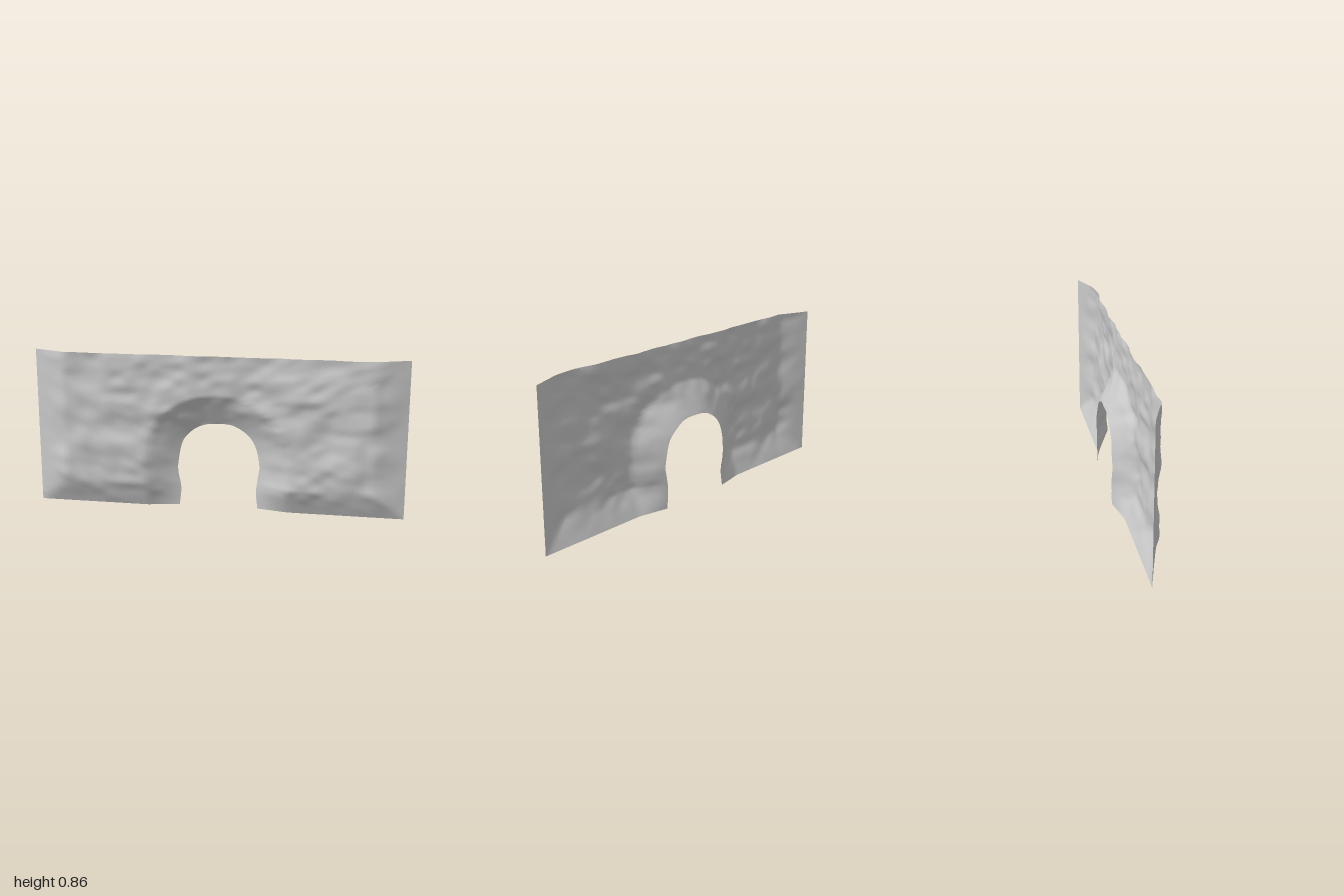
import * as THREE from 'three';

const HEIGHT = 0.855;

// Uneven outline of the opening, from the foot at -x over the crown to the foot at +x
const archCurve = new THREE.CatmullRomCurve3([
  [-0.22, 0], [-0.21, 0.1], [-0.225, 0.19], [-0.225, 0.24], [-0.19, 0.38], [-0.1, 0.455], [0, 0.47],
  [0.09, 0.458], [0.185, 0.38], [0.222, 0.24], [0.215, 0.18], [0.205, 0.1], [0.213, 0],
].map(([x, y]) => new THREE.Vector3(x, y, 0)));
const archSamples = archCurve.getSpacedPoints(120);

const clamp01 = (v) => THREE.MathUtils.clamp(v, 0, 1);

// Smooth seeded value noise, -1..1
function hash(i, j) {
  const s = Math.sin(i * 127.1 + j * 311.7 + 4.2) * 43758.5453;
  return (s - Math.floor(s)) * 2 - 1;
}
function noise(x, y) {
  const i = Math.floor(x), j = Math.floor(y);
  const u = THREE.MathUtils.smoothstep(x - i, 0, 1), v = THREE.MathUtils.smoothstep(y - j, 0, 1);
  return THREE.MathUtils.lerp(
    THREE.MathUtils.lerp(hash(i, j), hash(i + 1, j), u),
    THREE.MathUtils.lerp(hash(i, j + 1), hash(i + 1, j + 1), u), v);
}

// Point on the outer border: up the -x side, along the top, down the +x side
function border(u) {
  if (u < 0.25) return [-1, HEIGHT * u * 4];
  if (u > 0.75) return [1, HEIGHT * (1 - u) * 4];
  return [(u - 0.5) * 4, HEIGHT];
}

// Depth of the rock: bulges forward, falls back to the sides, the ground and the opening
function depth(x, y) {
  let d = Infinity;
  for (const p of archSamples) d = Math.min(d, Math.hypot(p.x - x, p.y - y));
  const edge = Math.min(clamp01((1 - Math.abs(x)) / 0.17), clamp01(y / 0.14));
  const bulge = 0.05 + 0.012 * clamp01(Math.abs(x) / 0.5) + 0.006 * y;
  const rough = 0.011 * noise(x * 7 + 20, y * 11 + 5) + 0.006 * noise(x * 15 + 50, y * 22 + 9);
  const wall = -0.025 + (bulge + rough) * edge;
  return THREE.MathUtils.lerp(-0.06, wall, clamp01(d / 0.17));
}

export function createModel() {
  const group = new THREE.Group();

  // Sheet stretched between the opening and the outer border
  const geometry = new THREE.PlaneGeometry(1, 1, 128, 32);
  const pos = geometry.attributes.position;
  for (let i = 0; i < pos.count; i++) {
    const u = pos.getX(i) + 0.5, t = pos.getY(i) + 0.5;
    const inner = archCurve.getPointAt(clamp01(u));
    const [ox, oy] = border(u);
    const x = THREE.MathUtils.lerp(inner.x, ox, t);
    const y = THREE.MathUtils.lerp(inner.y, oy, t);
    pos.setXYZ(i, x, y, depth(x, y));
  }
  geometry.computeVertexNormals();

  const wall = new THREE.Mesh(geometry,
    new THREE.MeshStandardMaterial({ color: 0xcccccc, side: THREE.DoubleSide }));
  wall.name = 'rockWallWithArch';
  group.add(wall);
  return group;
}
